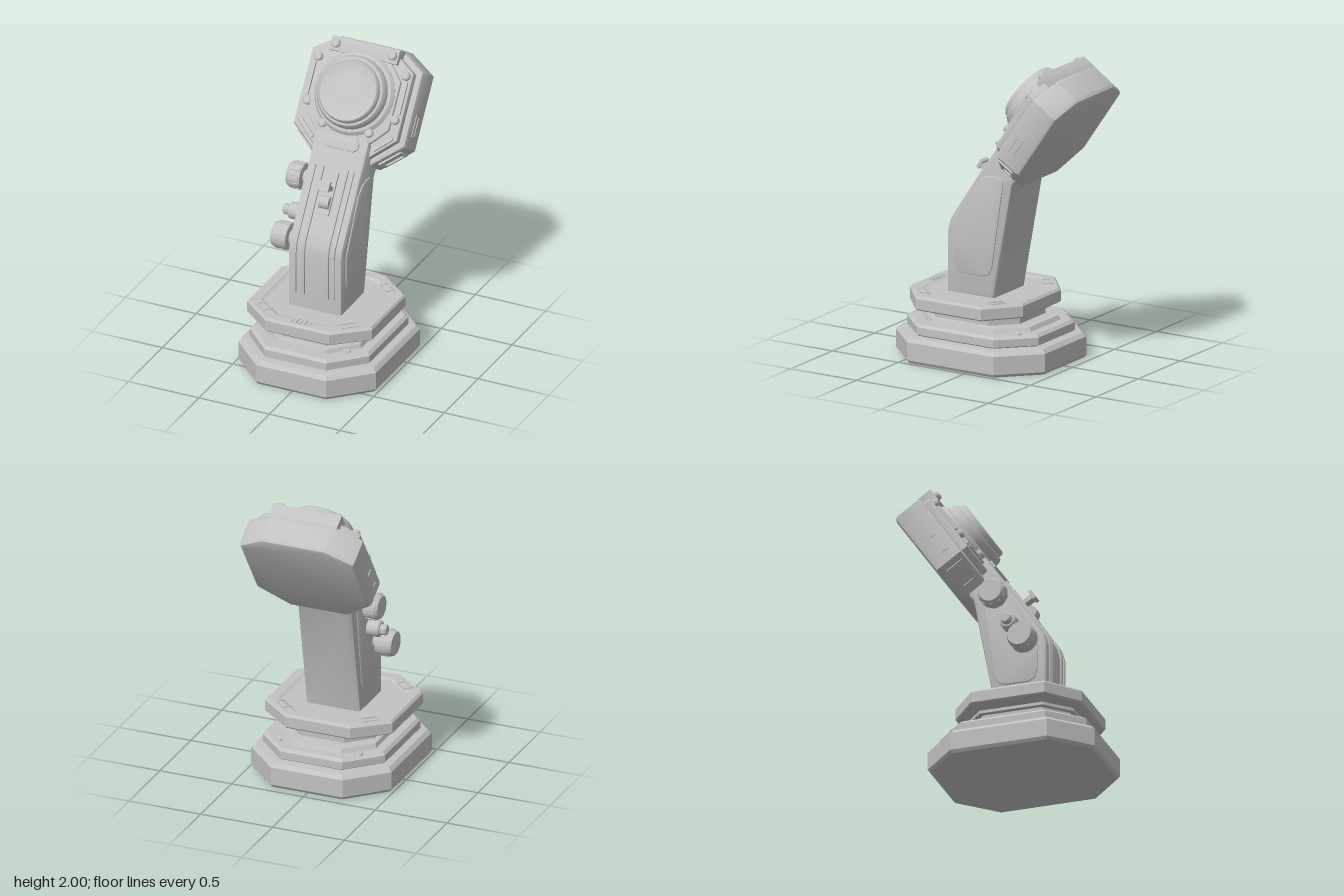
import * as THREE from 'three';
import { toCreasedNormals } from 'three/addons/utils/BufferGeometryUtils.js';

const grey = new THREE.MeshStandardMaterial({ color: 0xc2c2c2 });

function add(parent, name, geometry, x = 0, y = 0, z = 0) {
  const mesh = new THREE.Mesh(geometry, grey);
  mesh.name = name;
  mesh.position.set(x, y, z);
  parent.add(mesh);
  return mesh;
}

// Extruded outline from z0 to z0 + depth, with a bevel that stays inside it
function slab(points, depth, z0, bevel = 0.01) {
  const shape = new THREE.Shape(points.map(([x, y]) => new THREE.Vector2(x, y)));
  const g = new THREE.ExtrudeGeometry(shape, {
    depth: depth - 2 * bevel, bevelEnabled: bevel > 0, bevelThickness: bevel,
    bevelSize: bevel, bevelOffset: -bevel, bevelSegments: 2,
  });
  g.translate(0, 0, z0 + bevel);
  return toCreasedNormals(g, 0.6);
}

// Side profile given as (z, y), extruded across the width
const sideSlab = (points, width, bevel) => slab(points, width, -width / 2, bevel).rotateY(-Math.PI / 2);

const mirror = (half) => [...half, ...half.slice().reverse().map(([x, y]) => [-x, y])];

// Stack of cut-corner octagons; each row is [y, half width, front z, back z]
function octagonStack(rows) {
  const rings = rows.map(([y, a, f, b]) => {
    const h = (f - b) / 2, c = (f + b) / 2;
    return [[1, 0.58], [1, -0.58], [0.51, -1], [-0.51, -1], [-1, -0.58], [-1, 0.58], [-0.51, 1], [0.51, 1]]
      .map(([u, v]) => [a * u, y, c + h * v]);
  });
  const pos = [];
  for (let r = 0; r + 1 < rings.length; r++) {
    for (let i = 0; i < 8; i++) {
      const j = (i + 1) % 8;
      const a = rings[r][i], b = rings[r][j], c = rings[r + 1][j], d = rings[r + 1][i];
      pos.push(...a, ...b, ...c, ...a, ...c, ...d);
    }
  }
  const g = new THREE.BufferGeometry();
  g.setAttribute('position', new THREE.Float32BufferAttribute(pos, 3));
  g.computeVertexNormals();
  return g;
}

function lathe(profile, sides = 48) {
  const g = new THREE.LatheGeometry(profile.map(([r, y]) => new THREE.Vector2(r, y)), sides);
  return toCreasedNormals(g, 0.6);
}

function buildBase(parent) {
  add(parent, 'base', octagonStack([
    [0, 0, 0.115, 0.115], [0, 0.475, 0.665, -0.435], [0.02, 0.488, 0.68, -0.45],
    [0.14, 0.488, 0.68, -0.45], [0.165, 0.465, 0.655, -0.425], [0.17, 0.41, 0.6, -0.365],
    [0.18, 0.425, 0.616, -0.38], [0.23, 0.425, 0.616, -0.38], [0.248, 0.405, 0.595, -0.36],
    [0.248, 0.345, 0.535, -0.3], [0.275, 0.335, 0.525, -0.285], [0.28, 0.3, 0.485, -0.2],
    [0.32, 0.3, 0.485, -0.2], [0.325, 0.325, 0.508, -0.225], [0.345, 0.325, 0.508, -0.225],
    [0.345, 0.43, 0.577, -0.26], [0.355, 0.443, 0.588, -0.27], [0.425, 0.443, 0.588, -0.27],
    [0.44, 0.43, 0.575, -0.257], [0.44, 0.37, 0.51, -0.2], [0.43, 0.35, 0.49, -0.18],
    [0.43, 0, 0.16, 0.16],
  ]));
  // Vent ribs and corner frames on the top plate
  for (let i = -2; i <= 2; i++) {
    add(parent, 'ventRib', new THREE.BoxGeometry(0.014, 0.008, 0.05), i * 0.03, 0.441, 0.535);
  }
  for (const s of [-1, 1]) {
    for (const [z, turn] of [[0.44, 1], [-0.12, -1]]) {
      const frame = new THREE.Group();
      frame.name = 'cornerFrame';
      frame.position.set(s * 0.3, 0.441, z);
      frame.rotation.y = s * turn * 0.72;
      parent.add(frame);
      for (const t of [-1, 1]) {
        add(frame, 'frameBar', new THREE.BoxGeometry(0.11, 0.008, 0.01), 0, 0, t * 0.026);
        add(frame, 'frameBar', new THREE.BoxGeometry(0.01, 0.008, 0.052), t * 0.05, 0, 0);
      }
      add(parent, 'baseStud', new THREE.CylinderGeometry(0.025, 0.03, 0.012, 8), s * 0.28, 0.253, z === 0.44 ? 0.44 : -0.26);
    }
  }
}

function buildGrip(parent) {
  const front = [[0.335, 0.42], [0.335, 0.82], [0.32, 0.89], [0.28, 0.955], [0.0, 1.375], [-0.085, 1.5]];
  add(parent, 'grip', sideSlab([...front, [-0.3, 1.36], [-0.165, 1.2], [-0.02, 0.42]], 0.385, 0.028));

  // Raised rails running up the front
  const rail = [[0.333, 0.53], [0.333, 0.82], [0.318, 0.89], [0.278, 0.955], [0.035, 1.32]];
  const strip = [...rail.map(([z, y]) => [z + 0.014, y + 0.006]),
    ...rail.slice().reverse().map(([z, y]) => [z - 0.03, y - 0.02])];
  for (const s of [-1, 1]) {
    add(parent, 'frontRail', sideSlab(strip, 0.035, 0.005), s * 0.085);
    add(parent, 'thinRail', sideSlab(strip, 0.018, 0.004), s * 0.135);
    // Raised panel on each side
    add(parent, 'sidePanel', sideSlab([[0.275, 0.82], [0.255, 0.87], [0.1, 1.18], [0.04, 1.235], [-0.02, 1.247],
      [-0.08, 1.243], [-0.1, 1.215], [-0.015, 0.63], [0.015, 0.58], [0.06, 0.565], [0.22, 0.565], [0.26, 0.59],
      [0.275, 0.64]], 0.03, 0.008), s * 0.185);
  }

  // Thumb switch and neck plate lie on the sloping front
  const slope = new THREE.Group();
  slope.name = 'thumbSwitch';
  slope.position.set(0, 1.18, 0.13);
  slope.rotation.x = -0.588;
  parent.add(slope);
  add(slope, 'switchBed', new THREE.BoxGeometry(0.085, 0.28, 0.03));
  const roller = add(slope, 'roller', new THREE.CylinderGeometry(0.045, 0.045, 0.07, 16), 0, -0.06, 0.005);
  roller.rotation.z = Math.PI / 2;
  add(slope, 'switchArm', new THREE.BoxGeometry(0.06, 0.03, 0.09), 0, 0.03, 0.035);
  add(slope, 'switchTip', new THREE.BoxGeometry(0.07, 0.065, 0.022), 0, 0.035, 0.085);
  add(slope, 'neckPlate', slab(mirror([[0.1, 0.29], [0.13, 0.31], [0.13, 0.35], [0.11, 0.375]]), 0.015, 0.0, 0.004));
}

// Turned knobs on the right side, fluted by pulling in alternate vertices
function buildKnobs(parent) {
  const knobs = [
    ['upperKnob', 1.185, 0.0, [[0.045, 0], [0.045, 0.04], [0.085, 0.045], [0.088, 0.125], [0.075, 0.145], [0, 0.145]]],
    ['middleButton', 0.98, 0.1, [[0.055, 0], [0.055, 0.09], [0.045, 0.1], [0.035, 0.1], [0.035, 0.135], [0.028, 0.142], [0, 0.142]]],
    ['lowerKnob', 0.845, 0.2, [[0.05, 0], [0.05, 0.04], [0.09, 0.045], [0.09, 0.13], [0.078, 0.157], [0, 0.157]]],
  ];
  for (const [name, y, z, profile] of knobs) {
    const knob = add(parent, name, lathe(profile, 24), -0.185, y, z);
    knob.rotation.z = Math.PI / 2;
    if (name === 'middleButton') continue;
    for (let i = 0; i < 10; i++) {
      const a = (i / 10) * Math.PI * 2;
      const rib = add(knob, 'knobRib', new THREE.BoxGeometry(0.008, 0.07, 0.022), Math.cos(a) * 0.087, 0.088, Math.sin(a) * 0.087);
      rib.rotation.y = -a;
    }
  }
}

function buildHead(parent) {
  // Local y runs up the tilted face, local z points out of it
  const head = new THREE.Group();
  head.name = 'head';
  head.rotation.x = -0.6;
  parent.add(head);

  add(head, 'headBody', slab(mirror([[0.2, 1.135], [0.398, 1.3], [0.398, 1.795], [0.22, 1.908]]), 0.215, 0.472, 0.03));
  add(head, 'facePlate', slab(mirror([[0.17, 1.16], [0.355, 1.325], [0.355, 1.77], [0.2, 1.875]]), 0.075, 0.66, 0.015));
  add(head, 'innerPlate', slab(mirror([[0.14, 1.22], [0.29, 1.38], [0.29, 1.7], [0.17, 1.83]]), 0.05, 0.705, 0.012));
  add(head, 'topBlock', slab(mirror([[0.24, 1.8], [0.24, 1.897]]), 0.11, 0.662, 0.004));

  // Large round cap in stepped rings
  const cap = add(head, 'roundCap', lathe([[0.275, 0], [0.275, 0.025], [0.258, 0.045], [0.238, 0.05], [0.236, 0.085],
    [0.222, 0.105], [0.208, 0.108], [0.204, 0.135], [0.195, 0.145], [0.186, 0.14], [0.1, 0.146], [0, 0.148]]), 0, 1.565, 0.735);
  cap.rotation.x = Math.PI / 2;

  for (const s of [-1, 1]) {
    for (const [x, y, z] of [[0.2, 1.85, 0.775], [0.31, 1.745, 0.74], [0.31, 1.455, 0.74], [0.165, 1.335, 0.755]]) {
      const screw = add(head, 'screw', lathe([[0.03, -0.02], [0.03, 0.012], [0.022, 0.022], [0, 0.025]], 14), s * x, y, z);
      screw.rotation.x = Math.PI / 2;
    }
    add(head, 'sideBar', new THREE.BoxGeometry(0.02, 0.22, 0.03), s * 0.325, 1.6, 0.735);
    const ridge = add(head, 'diagonalRidge', new THREE.BoxGeometry(0.15, 0.02, 0.03), s * 0.27, 1.285, 0.735);
    ridge.rotation.z = s * 0.72;
    // Slot frames on the straight side and on the lower cut corner
    for (const t of [-1, 1]) {
      add(head, 'sideSlotEdge', new THREE.BoxGeometry(0.01, 0.15, 0.009), s * 0.398, 1.45, 0.6 + t * 0.022);
      add(head, 'sideSlotEnd', new THREE.BoxGeometry(0.01, 0.009, 0.05), s * 0.398, 1.45 + t * 0.07, 0.6);
    }
    const corner = new THREE.Group();
    corner.name = 'cornerSlot';
    corner.position.set(s * 0.3, 1.217, 0.59);
    corner.rotation.z = s * 0.695;
    head.add(corner);
    for (const t of [-1, 1]) {
      add(corner, 'slotEdge', new THREE.BoxGeometry(0.16, 0.022, 0.02), 0, 0, t * 0.05);
      add(corner, 'slotEnd', new THREE.BoxGeometry(0.02, 0.022, 0.11), t * 0.075, 0, 0);
    }
  }
}

export function createModel() {
  const model = new THREE.Group();
  model.name = 'controlStick';
  buildBase(model);
  buildGrip(model);
  buildKnobs(model);
  buildHead(model);
  return model;
}
